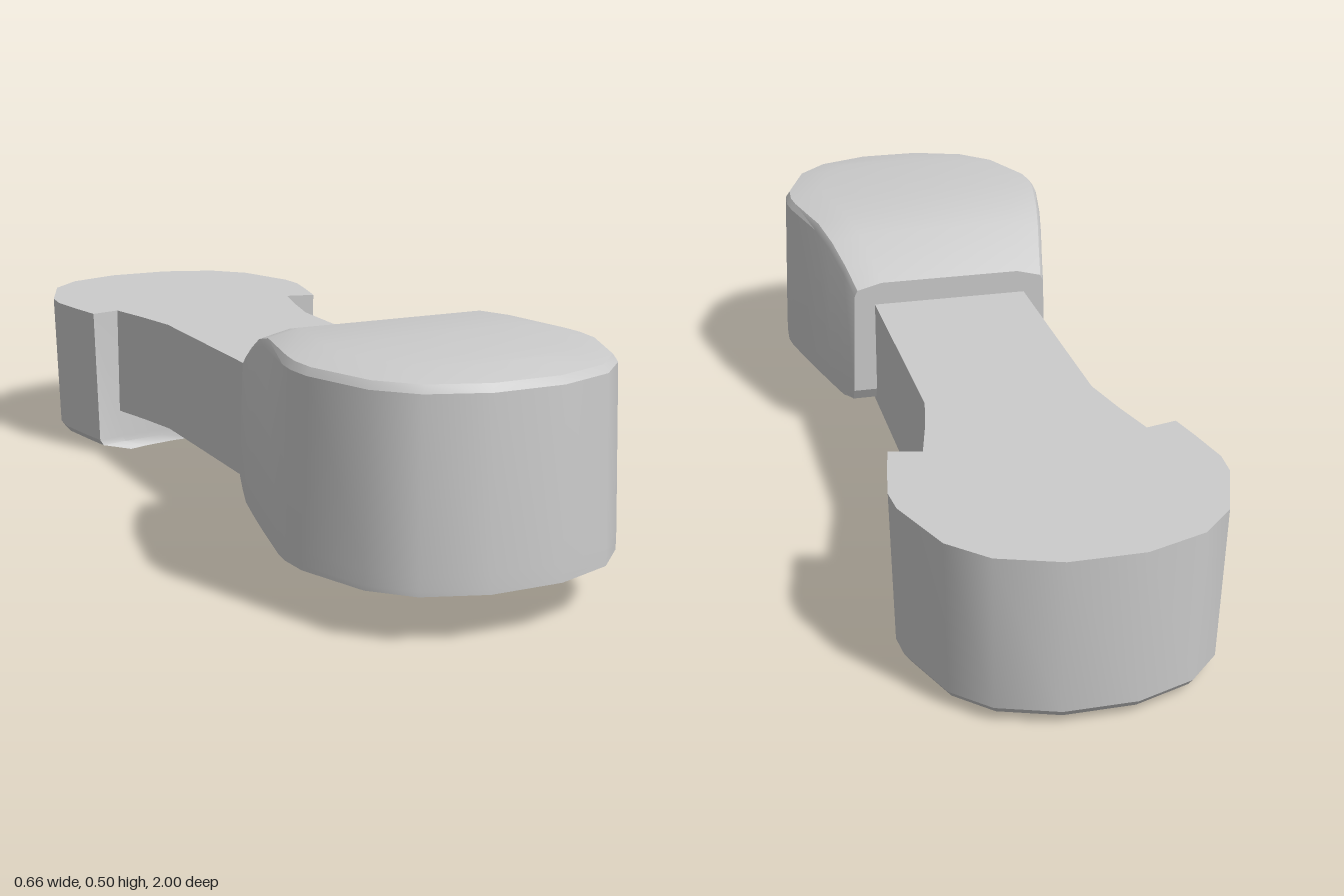
import * as THREE from 'three';
import { toCreasedNormals } from 'three/addons/utils/BufferGeometryUtils.js';

const material = new THREE.MeshStandardMaterial({ color: 0xcccccc });
const R = 0.33, CENTRE = 0.67; // radius and centre of the round pad ends

// Round end shared by both pads, as [x, z] on the +x side
const roundEnd = [[0.33, 0.68], [0.325, 0.74], [0.27, 0.885], [0.198, 0.957], [0.075, 1]];

// Mirror a half outline to close it
const mirrored = half => [
  ...half,
  ...half.filter(([x]) => x > 0).reverse().map(([x, z]) => [-x, z]),
];

// How far the crown slopes down towards the handle
function crownDrop(z) {
  const steps = [[0.245, 0.09], [0.31, 0.055], [0.39, 0.02], [0.475, 0]];
  for (let i = 1; i < steps.length; i++) {
    const [z0, d0] = steps[i - 1], [z1, d1] = steps[i];
    if (z <= z1) return THREE.MathUtils.mapLinear(z, z0, z1, d0, d1);
  }
  return 0;
}

// Stack of inset outlines, capped at both ends.
// Each ring: y, inset, and optionally zMin (cuts the inner edge) and sloped.
function padGeometry(outline, rings) {
  const n = outline.length, pos = [];
  const loops = rings.map(({ y, inset = 0, zMin = 0, sloped = false }) => {
    const f = 1 - inset / R;
    return outline.map(([x, z]) => new THREE.Vector3(
      x * f,
      y - (sloped ? crownDrop(z) : 0),
      Math.max(zMin, z > CENTRE ? CENTRE + (z - CENTRE) * f : z)));
  });
  const tri = (...pts) => pts.forEach(p => pos.push(p.x, p.y, p.z));
  const quad = (a, b, c, d) => { tri(a, b, c); tri(a, c, d); };

  // walls
  for (let k = 0; k < loops.length - 1; k++) {
    for (let i = 0; i < n; i++) {
      const j = (i + 1) % n;
      quad(loops[k][i], loops[k + 1][i], loops[k + 1][j], loops[k][j]);
    }
  }
  // flat cap
  const flatCap = (loop, up) => {
    const flat = loop.map(p => new THREE.Vector2(p.x, p.z));
    for (const [a, b, c] of THREE.ShapeUtils.triangulateShape(flat, [])) {
      const facesUp = THREE.ShapeUtils.area([flat[a], flat[b], flat[c]]) < 0;
      if (facesUp === up) tri(loop[a], loop[b], loop[c]);
      else tri(loop[a], loop[c], loop[b]);
    }
  };
  flatCap(loops[0], false);
  const top = loops[loops.length - 1];
  if (rings[rings.length - 1].sloped) {
    // sloping cap in strips from side to side
    for (let i = 0; i < n / 2 - 1; i++) quad(top[i], top[n - 1 - i], top[n - 2 - i], top[i + 1]);
  } else flatCap(top, true);

  const g = new THREE.BufferGeometry();
  g.setAttribute('position', new THREE.Float32BufferAttribute(pos, 3));
  return toCreasedNormals(g, 0.5);
}

function addMesh(group, name, geometry) {
  const mesh = new THREE.Mesh(geometry, material);
  mesh.name = name;
  group.add(mesh);
  return mesh;
}

export function createModel() {
  const group = new THREE.Group();
  group.name = 'doubleEndedBar';

  // Raised front pad with a crowned top and rounded lower inner corner
  const frontOutline = mirrored([
    [0.235, 0.245], [0.25, 0.31], [0.27, 0.39], [0.29, 0.475], [0.325, 0.635], ...roundEnd]);
  addMesh(group, 'frontPad', padGeometry(frontOutline, [
    { y: 0.098, zMin: 0.29 },
    { y: 0.108, zMin: 0.26 },
    { y: 0.135 },
    { y: 0.465, inset: 0.01, sloped: true },
    { y: 0.48, inset: 0.02, sloped: true },
    { y: 0.495, inset: 0.1, sloped: true },
  ]));

  // Rear pad, hanging down: built upright, then turned over
  const rearOutline = mirrored([
    [0, 0.55], [0.12, 0.543], [0.23, 0.526], [0.297, 0.51], [0.312, 0.58], ...roundEnd]);
  addMesh(group, 'rearPad', padGeometry(rearOutline, [
    { y: -0.352 },
    { y: -0.032, inset: 0.01 },
    { y: -0.018, inset: 0.02 },
    { y: 0, inset: 0.1 },
  ])).rotation.x = Math.PI;

  // Handle bar, flaring into the rear pad
  const bar = mirrored([[0.18, 0.31], [0.18, -0.31], [0.203, -0.42], [0.23, -0.526], [0.23, -0.56]]);
  const barShape = new THREE.Shape(bar.map(([x, z]) => new THREE.Vector2(x, -z)));
  const barGeometry = new THREE.ExtrudeGeometry(barShape, { depth: 0.254, bevelEnabled: false });
  barGeometry.rotateX(-Math.PI / 2).translate(0, 0.098, 0);
  addMesh(group, 'handle', toCreasedNormals(barGeometry, 0.5));

  return group;
}
